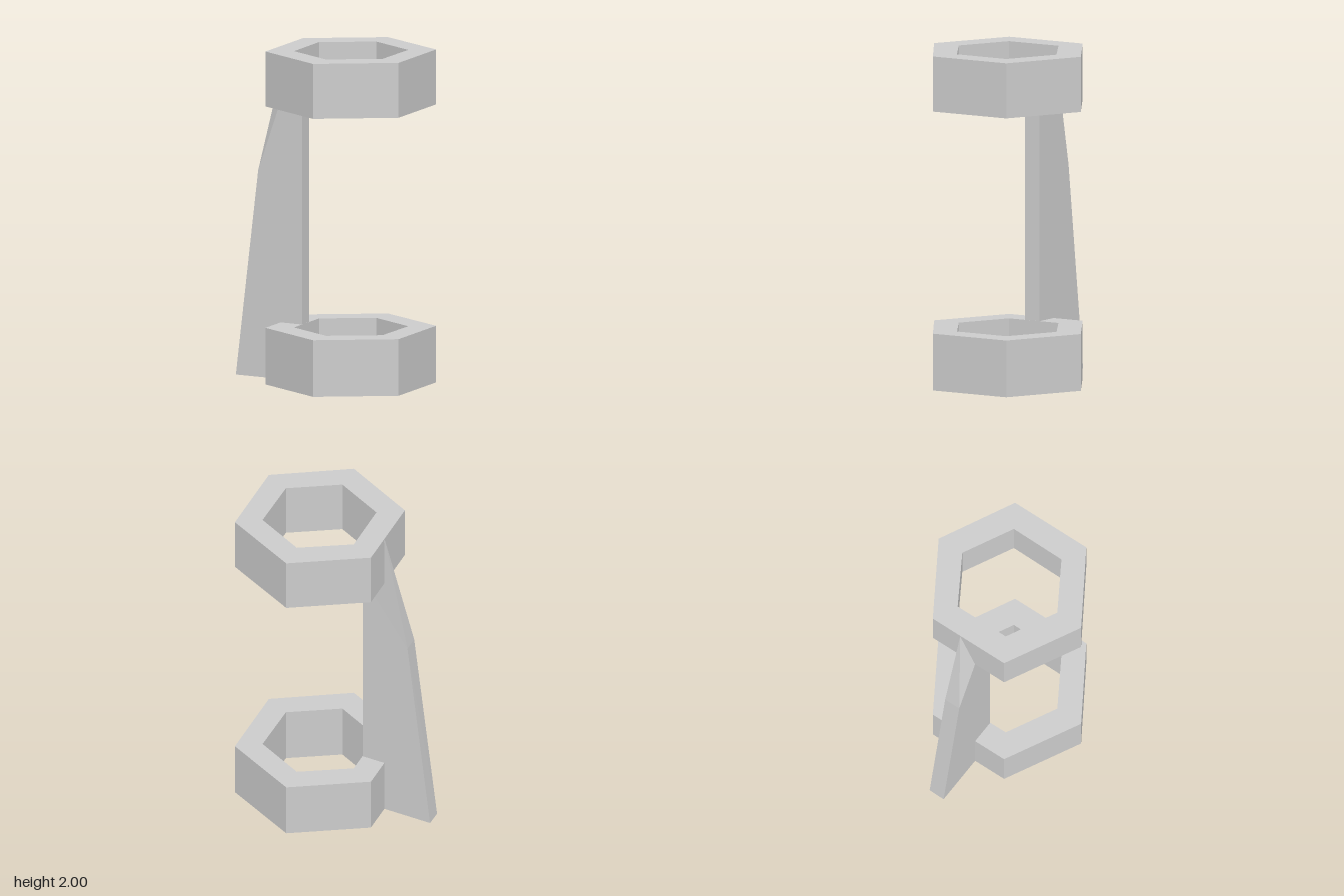
import * as THREE from 'three';

// Skin successive closed loops of [x, y, z] points (clockwise seen from above)
function loft(name, loops) {
  const n = loops[0].length;
  const positions = loops.flat(2);
  const index = [];
  for (let k = 0; k < loops.length - 1; k++) {
    for (let i = 0; i < n; i++) {
      const j = (i + 1) % n;
      const a = k * n + i, b = k * n + j, c = b + n, d = a + n;
      index.push(a, c, b, a, d, c);
    }
  }
  const indexed = new THREE.BufferGeometry();
  indexed.setAttribute('position', new THREE.Float32BufferAttribute(positions, 3));
  indexed.setIndex(index);
  const geometry = indexed.toNonIndexed();
  geometry.computeVertexNormals();
  const mesh = new THREE.Mesh(geometry, new THREE.MeshStandardMaterial({
    color: 0xcccccc, flatShading: true, side: THREE.DoubleSide,
  }));
  mesh.name = name;
  return mesh;
}

const atHeight = (outline, y) => outline.map(([x, z]) => [x, y, z]);

// Slightly skewed hexagon outlines [x, z]
const OUTER = [[0.11, -0.505], [0.565, -0.285], [0.6, 0.22], [0.18, 0.505], [-0.275, 0.28], [-0.31, -0.225]];
const INNER = [[0.125, -0.34], [0.43, -0.19], [0.45, 0.15], [0.17, 0.335], [-0.135, 0.185], [-0.16, -0.155]];

// Hollow hexagonal ring: outer wall, top face, inner wall, open underneath
function hexRing(name, bottom, top) {
  return loft(name, [
    atHeight(OUTER, bottom), atHeight(OUTER, top),
    atHeight(INNER, top), atHeight(INNER, bottom),
  ]);
}

export function createModel() {
  const group = new THREE.Group();
  group.name = 'ringHolder';

  group.add(hexRing('lowerRing', 0, 0.34));
  group.add(hexRing('upperRing', 1.67, 2));

  // Tapered support arm, its back outer corner rising to the top of the upper ring
  group.add(loft('supportArm', [
    atHeight([[-0.6, -0.025], [-0.152, -0.025], [-0.144, 0.075], [-0.595, 0.075]], 0),
    atHeight([[-0.45, -0.025], [-0.152, -0.025], [-0.144, 0.075], [-0.443, 0.075]], 1.24),
    [[-0.3, 2, -0.028], [-0.152, 1.67, -0.025], [-0.144, 1.67, 0.075], [-0.29, 1.67, 0.075]],
  ]));

  return group;
}
